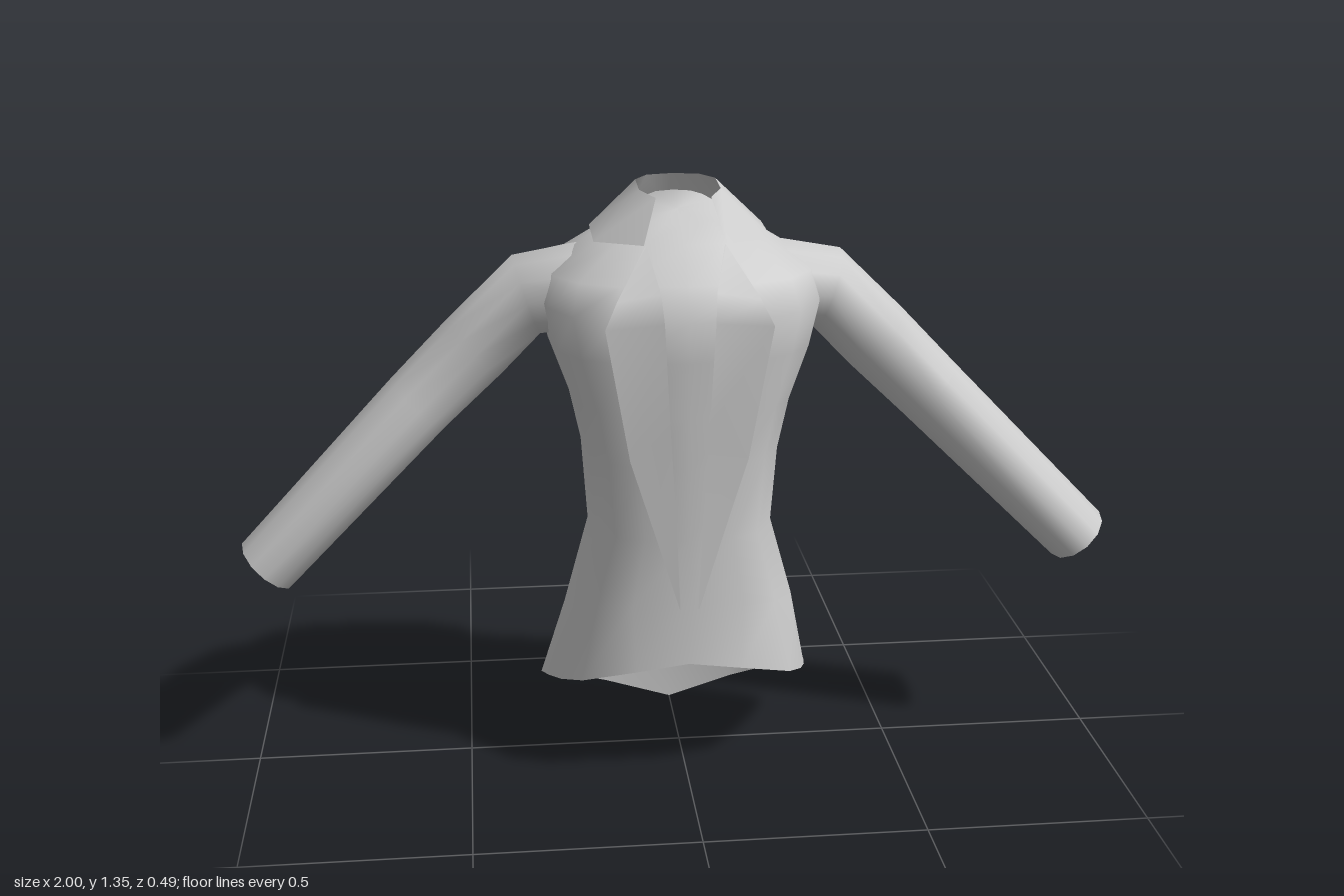
import * as THREE from 'three';

const material = new THREE.MeshStandardMaterial({ color: 0xcccccc, side: THREE.DoubleSide });

// Skin a list of rows (each an equal-length list of [x, y, z]) with smooth quads.
function loft(name, rows, closed) {
  const n = rows[0].length, index = [];
  for (let i = 0; i < rows.length - 1; i++) {
    for (let j = 0; j < (closed ? n : n - 1); j++) {
      const k = (j + 1) % n;
      const a = i * n + j, b = i * n + k, c = a + n, d = b + n;
      index.push(a, b, d, a, d, c);
    }
  }
  const geometry = new THREE.BufferGeometry();
  geometry.setAttribute('position', new THREE.Float32BufferAttribute(rows.flat(2), 3));
  geometry.setIndex(index);
  geometry.computeVertexNormals();
  const mesh = new THREE.Mesh(geometry, material);
  mesh.name = name;
  return mesh;
}

// Complete a front-to-back half outline with its mirror image.
const fullRing = (half) => [
  ...half,
  ...half.slice(1, -1).reverse().map(([x, y, z]) => [-x, y, z]),
];

// Half of a squarish oval; the height runs from yFront to yBack.
function halfOval(yFront, yBack, width, zFront, zBack, power) {
  const points = [], steps = 8, mid = -0.02;
  for (let i = 0; i <= steps; i++) {
    const a = (i / steps) * Math.PI, s = Math.sin(a), c = Math.cos(a);
    const depth = c > 0 ? zFront - mid : mid - zBack;
    const x = i === steps ? 0 : width * Math.pow(s, power);
    const z = mid + Math.sign(c) * depth * Math.pow(Math.abs(c), power);
    points.push([x, yFront + (yBack - yFront) * (1 - c) / 2, z]);
  }
  return points;
}

// Torso, from the dipping hem up to the ramp inside the neck
function makeTorso() {
  const hem = [
    [0, 0.305, 0.225], [0.12, 0.288, 0.222], [0.24, 0.25, 0.17],
    [0.285, 0.205, 0.06], [0.31, 0.17, -0.04], [0.325, 0.14, -0.13],
    [0.25, 0.1, -0.19], [0.16, 0.055, -0.24], [0, 0.005, -0.24],
  ];
  const levels = [
    // yFront, yBack, width, zFront, zBack, power
    [0.45, 0.29, 0.27, 0.222, -0.238, 0.8],
    [0.6, 0.56, 0.212, 0.222, -0.172, 0.8],
    [0.77, 0.78, 0.225, 0.225, -0.176, 0.75],
    [0.89, 0.89, 0.25, 0.226, -0.195, 0.72],
    [1.01, 1.02, 0.295, 0.228, -0.228, 0.72],
    [1.1, 1.14, 0.318, 0.23, -0.248, 0.72],
    [1.17, 1.19, 0.3, 0.19, -0.232, 0.75],
    [1.25, 1.25, 0.19, 0.13, -0.192, 0.8],
    [1.28, 1.32, 0.085, 0.07, -0.135, 0.8],
    [1.3, 1.3, 0, -0.02, -0.02, 1],
  ];
  const rows = [hem, ...levels.map((l) => halfOval(...l))].map(fullRing);
  return loft('torso', rows, true);
}

// Stand-up collar, open at the front
function makeCollar() {
  const bottom = [
    [0, 1.26, -0.197], [0.1, 1.26, -0.177], [0.195, 1.255, -0.08],
    [0.195, 1.25, 0.08], [0.09, 1.25, 0.135],
  ];
  const top = [
    [0, 1.355, -0.15], [0.06, 1.355, -0.135], [0.09, 1.355, -0.08],
    [0.09, 1.35, 0.02], [0.06, 1.345, 0.092],
  ];
  const sweep = (half) => [
    ...half.slice().reverse(),
    ...half.slice(1).map(([x, y, z]) => [-x, y, z]),
  ];
  return loft('collar', [sweep(bottom), sweep(top)], false);
}

// Sleeve with a bent elbow and a closed cuff
function makeSleeve(side) {
  const sides = 12;
  const sections = [
    // centre x, y, z, tilt of the section, radius in the front plane, radius in z
    [0.2, 1.13, -0.03, 0.15, 0.1, 0.14],
    [0.34, 1.11, -0.035, 0.32, 0.095, 0.098],
    [0.46, 0.99, -0.044, 0.75, 0.088, 0.096],
    [0.59, 0.86, -0.054, 0.78, 0.084, 0.095],
    [0.945, 0.51, 0.025, 0.82, 0.075, 0.095],
    [0.935, 0.52, 0.02, 0.82, 0, 0],
  ];
  const rows = sections.map(([cx, cy, cz, tilt, r, rz]) => {
    const row = [];
    for (let j = 0; j < sides; j++) {
      const a = side * (j / sides) * Math.PI * 2, u = r * Math.cos(a);
      row.push([
        side * (cx + u * Math.sin(tilt)),
        cy + u * Math.cos(tilt),
        cz + rz * Math.sin(a),
      ]);
    }
    return row;
  });
  return loft(side > 0 ? 'leftSleeve' : 'rightSleeve', rows, true);
}

// Long pointed lapel lying on the chest
function makeLapel(side) {
  const inner = [
    [0.02, 0.44, 0.226], [0.03, 0.66, 0.229], [0.043, 0.87, 0.232],
    [0.055, 1.1, 0.238], [0.06, 1.16, 0.21], [0.085, 1.25, 0.138],
  ];
  const outer = [
    [0.022, 0.44, 0.226], [0.08, 0.63, 0.224], [0.13, 0.79, 0.222],
    [0.182, 1.09, 0.232], [0.155, 1.145, 0.21], [0.087, 1.25, 0.138],
  ];
  const rows = inner.map((p, i) => {
    const row = [p, outer[i]].map(([x, y, z]) => [side * x, y, z]);
    return side > 0 ? row : row.reverse();
  });
  return loft(side > 0 ? 'leftLapel' : 'rightLapel', rows, false);
}

export function createModel() {
  const jacket = new THREE.Group();
  jacket.name = 'jacket';
  jacket.add(makeTorso(), makeCollar());
  for (const side of [1, -1]) jacket.add(makeSleeve(side), makeLapel(side));
  return jacket;
}
